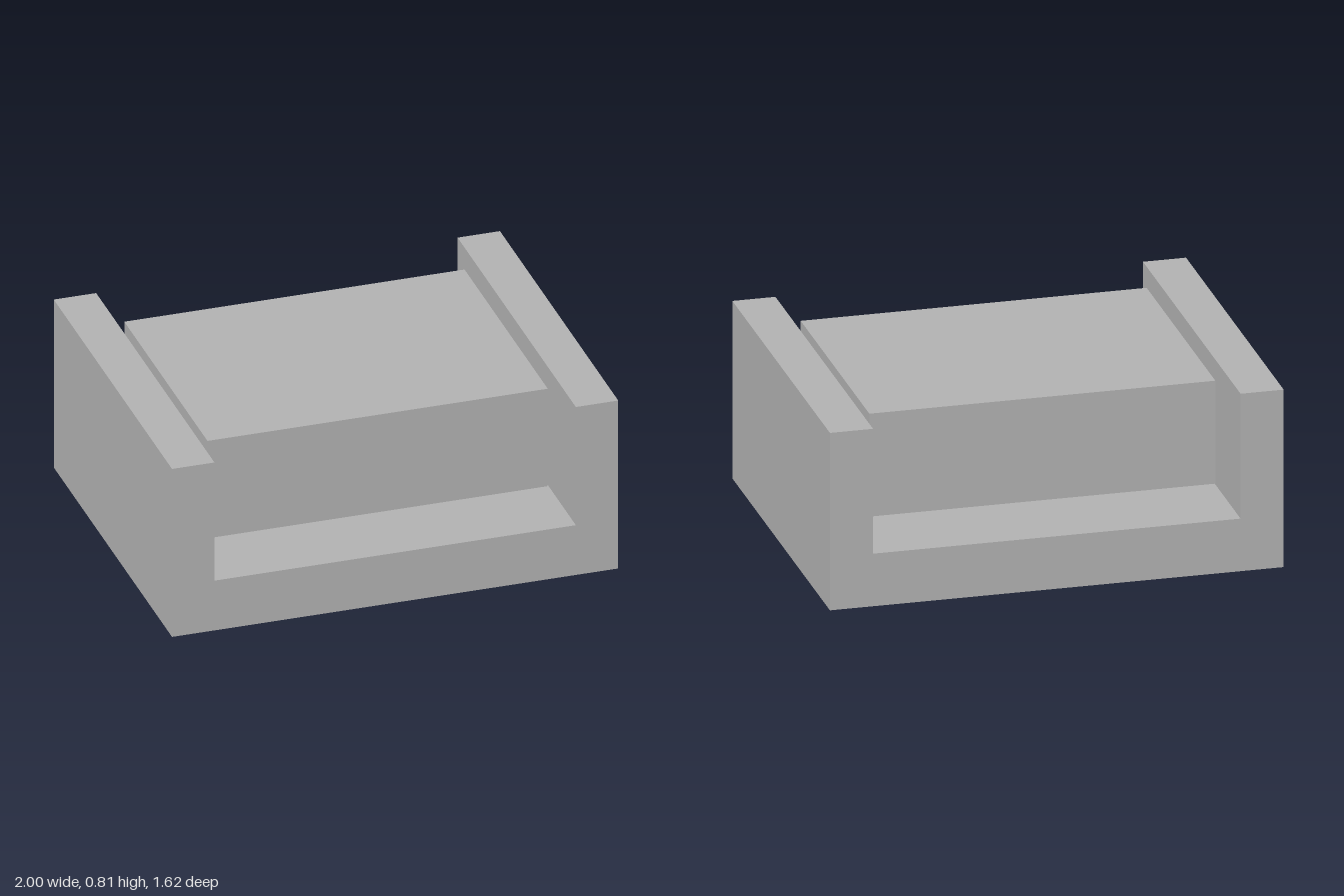
import * as THREE from 'three';

export function createModel() {
  const model = new THREE.Group();
  const grey = new THREE.MeshStandardMaterial({ color: 0xb2b2b2, flatShading: true });
  grey.name = 'grey';

  // U-shaped cradle: floor and two side walls, open at front and back
  const W = 1, H = 0.81, INNER = 0.81, FLOOR = 0.24, DEPTH = 1.62;
  const profile = new THREE.Shape([
    [-W, 0], [W, 0], [W, H], [INNER, H],
    [INNER, FLOOR], [-INNER, FLOOR], [-INNER, H], [-W, H],
  ].map(([x, y]) => new THREE.Vector2(x, y)));
  const cradleGeometry = new THREE.ExtrudeGeometry(profile, { depth: DEPTH, bevelEnabled: false });
  cradleGeometry.translate(0, 0, -DEPTH / 2);
  const cradle = new THREE.Mesh(cradleGeometry, grey);
  cradle.name = 'cradle';
  model.add(cradle);

  // Block held clear of the floor and walls
  const block = new THREE.Mesh(new THREE.BoxGeometry(1.525, 0.47, 1.14), grey);
  block.name = 'block';
  block.position.y = 0.55;
  model.add(block);

  return model;
}
